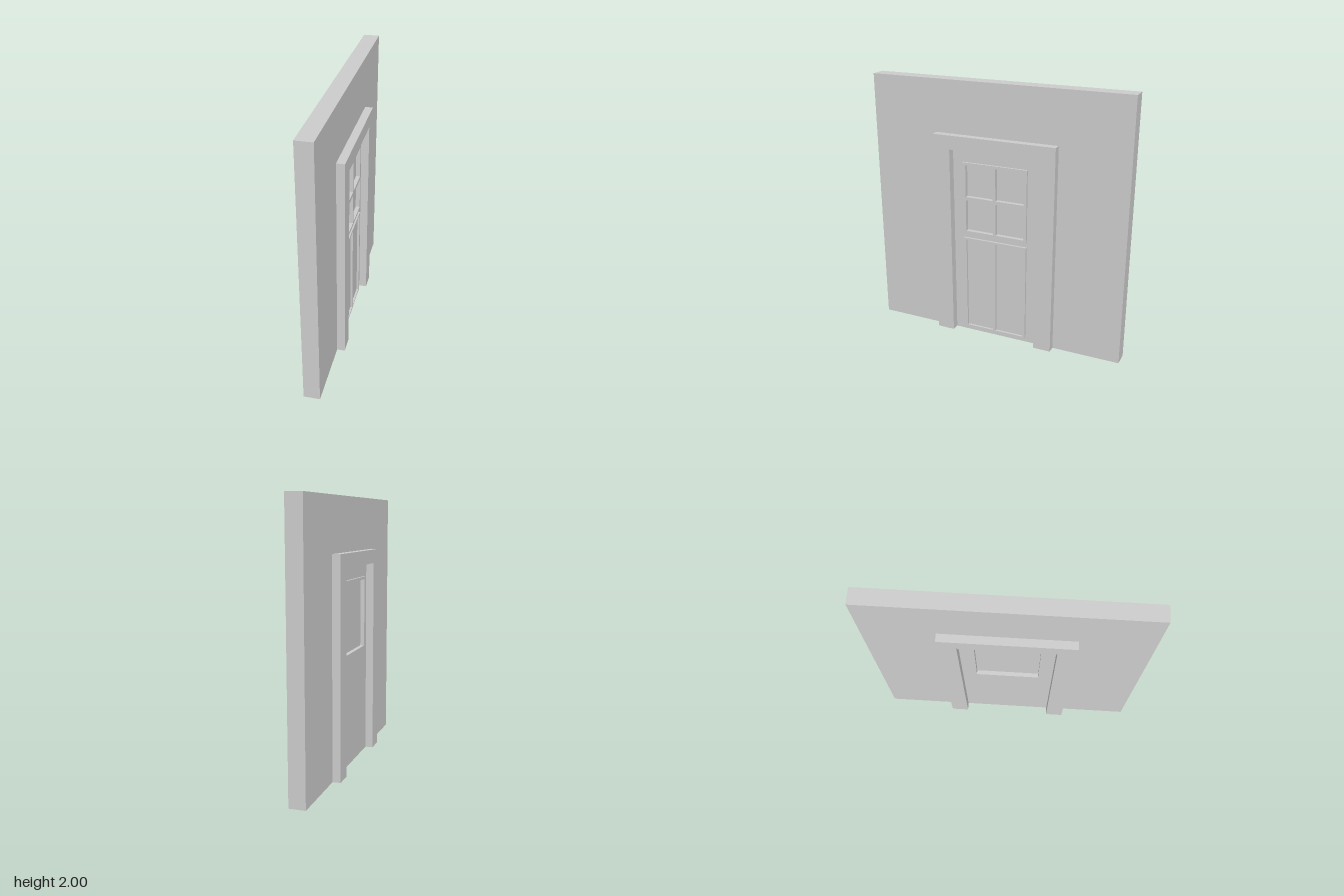
import * as THREE from 'three';

const material = new THREE.MeshStandardMaterial({ color: 0xcccccc });

// Closed outline from [z, y] corners
function outline(points, Type = THREE.Shape) {
  return new Type(points.map(([z, y]) => new THREE.Vector2(z, y)));
}

function rect(z0, z1, y0, y1) {
  return [[z0, y0], [z1, y0], [z1, y1], [z0, y1]];
}

// Extrudes a z-y outline (with holes) across the wall from x0 to x1
function slab(name, points, holes, x0, x1) {
  const shape = outline(points);
  shape.holes = holes.map((h) => outline([...h].reverse(), THREE.Path));
  const geo = new THREE.ExtrudeGeometry(shape, { depth: x1 - x0, bevelEnabled: false });
  geo.rotateY(-Math.PI / 2).translate(x1, 0, 0);
  const mesh = new THREE.Mesh(geo, material);
  mesh.name = name;
  return mesh;
}

export function createModel() {
  const group = new THREE.Group();
  group.name = 'wallWithDoor';

  const wallX = 0.06, casingX = 0.12, trimX = 0.077, glassX = 0.045;
  const opening = rect(-0.243, 0.249, 0.85, 1.392);
  const columns = [[-0.232, -0.006], [0.015, 0.237]];

  // Wall with the window opening of the door
  group.add(slab('wall', rect(-1, 1, 0, 2), [opening], -wallX, wallX));
  group.add(slab('windowPane', opening, [], -glassX, glassX));

  // Door casing on both faces
  const casing = [
    [-0.479, 0], [-0.344, 0], [-0.344, 1.5], [0.344, 1.5],
    [0.344, 0], [0.479, 0], [0.479, 1.605], [-0.479, 1.605],
  ];
  group.add(slab('rightCasing', casing, [], -casingX, -wallX));
  group.add(slab('leftCasing', casing, [], wallX, casingX));

  // Window frame with four lights on one face, a plain frame on the other
  const windowOuter = rect(-0.253, 0.26, 0.84, 1.402);
  const lights = [];
  for (const [z0, z1] of columns) {
    for (const [y0, y1] of [[0.861, 1.107], [1.134, 1.381]]) lights.push(rect(z0, z1, y0, y1));
  }
  group.add(slab('windowBars', windowOuter, lights, glassX, trimX));
  group.add(slab('plainWindowFrame', windowOuter, [rect(-0.232, 0.237, 0.861, 1.381)], -trimX, -glassX));

  // Raised moulding round the two lower door panels
  const panels = columns.map(([z0, z1]) => rect(z0, z1, 0.047, 0.786));
  group.add(slab('lowerPanelTrim', rect(-0.253, 0.26, 0.035, 0.802), panels, wallX, trimX));

  return group;
}
